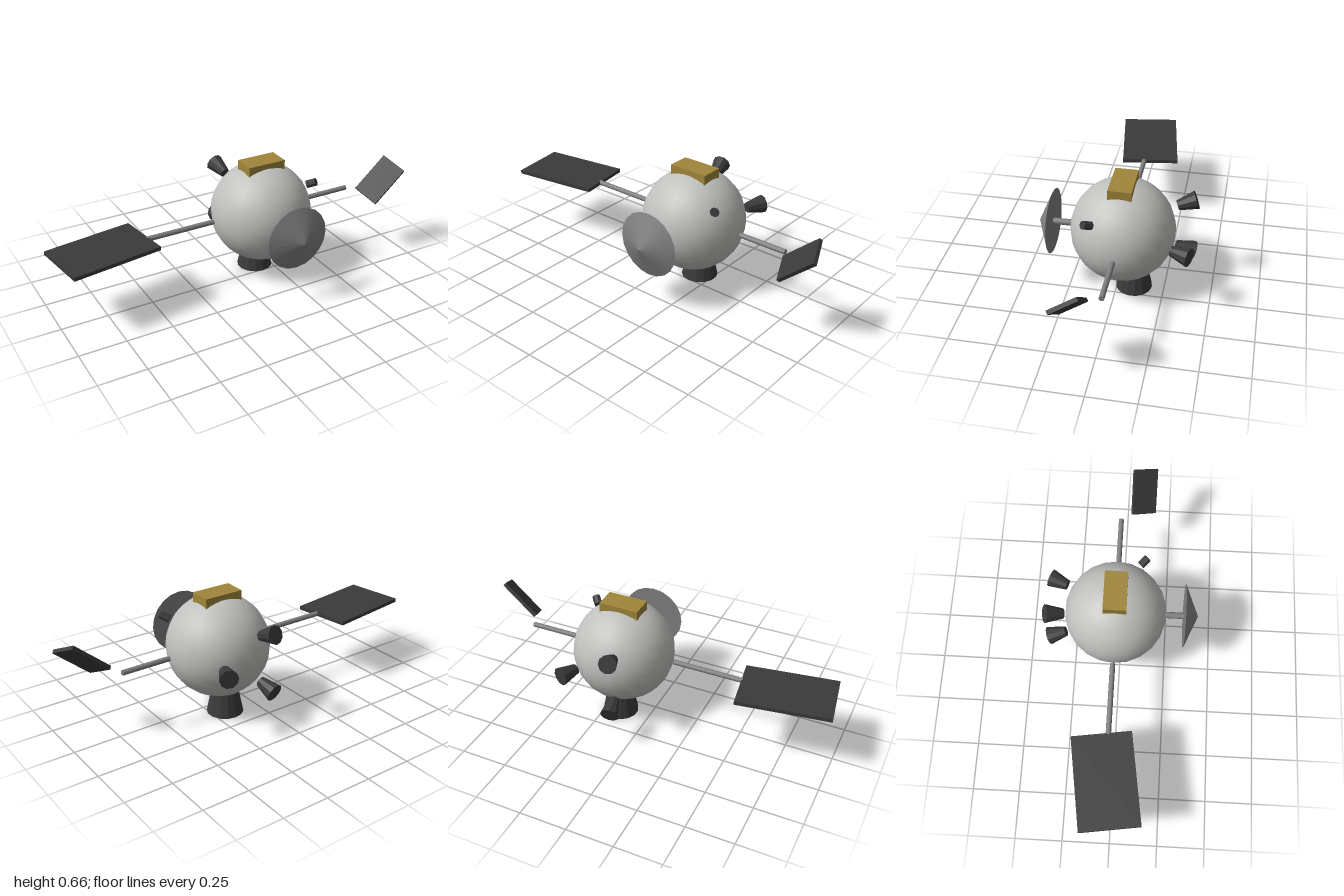
import * as THREE from 'three';

const mat = (name, color, flatShading = false) => {
  const m = new THREE.MeshStandardMaterial({ color, flatShading });
  m.name = name;
  return m;
};

export function createModel() {
  const root = new THREE.Group();
  root.name = 'satellite';
  const hull = mat('hullGrey', 0xc0c1be);
  const metal = mat('metalGrey', 0x808082);
  const dark = mat('darkGrey', 0x3a3a3a, true);
  const gold = mat('gold', 0xa0863a);

  const C = new THREE.Vector3(0.17, 0.365, -0.03); // body centre
  const UP = new THREE.Vector3(0, 1, 0);

  const add = (name, geo, material, x, y, z) => {
    const mesh = new THREE.Mesh(geo, material);
    mesh.name = name;
    mesh.position.set(x, y, z);
    root.add(mesh);
    return mesh;
  };
  // Cylinder or cone whose far end (radius rEnd) points along dir
  const rod = (name, rEnd, rStart, len, sides, material, pos, dir) => {
    const m = add(name, new THREE.CylinderGeometry(rEnd, rStart, len, sides), material, ...pos);
    m.quaternion.setFromUnitVectors(UP, new THREE.Vector3(...dir).normalize());
    return m;
  };

  // Spherical body with equipment box on top
  add('body', new THREE.SphereGeometry(0.271, 22, 16), hull, C.x, C.y, C.z);
  add('topBox', new THREE.BoxGeometry(0.215, 0.052, 0.12), gold, C.x, 0.631, C.z);

  // Dish antenna on a short stalk
  rod('dishStalk', 0.017, 0.017, 0.11, 10, metal, [C.x, C.y, 0.285], [0, 0, 1]);
  rod('dish', 0, 0.172, 0.073, 20, metal, [C.x, C.y, 0.3735], [0, 0, 1]);

  // Booms to the two solar panels
  rod('rightBoom', 0.014, 0.014, 0.38, 10, metal, [-0.31, C.y, C.z], [-1, 0, 0]);
  rod('leftBoom', 0.014, 0.014, 0.265, 10, metal, [0.597, C.y, C.z], [1, 0, 0]);

  // Large panel, slightly yawed
  const large = add('rightPanel', new THREE.BoxGeometry(0.482, 0.02, 0.313), dark, -0.738, C.y, C.z);
  large.rotation.y = 0.148;

  // Small broken panel, tilted away from its boom
  const small = add('leftPanel', new THREE.BoxGeometry(0.245, 0.02, 0.147), dark, 0.876, 0.43, 0.092);
  const ax = new THREE.Vector3(0.755, 0.656, 0).normalize();
  const az = new THREE.Vector3(0.34, -0.374, 0.864);
  const ay = az.clone().cross(ax).normalize();
  az.crossVectors(ax, ay);
  small.quaternion.setFromRotationMatrix(new THREE.Matrix4().makeBasis(ax, ay, az));

  // Main nozzle below
  rod('mainNozzle', 0.072, 0.097, 0.122, 14, dark, [C.x, 0.061, -0.089], [0, 1, 0]);

  // Three rear thrusters in a ring, splayed outward
  for (let i = 0; i < 3; i++) {
    const a = (i * Math.PI * 2) / 3;
    const c = Math.cos(a), s = Math.sin(a), t = Math.sin(0.39);
    rod('thruster' + (i + 1), 0.049, 0.027, 0.1, 10, dark,
      [C.x + 0.165 * c, C.y + 0.165 * s, -0.345], [c * t, s * t, -Math.cos(0.39)]);
  }

  // Small sensor at the upper front left
  rod('sensor', 0.022, 0.022, 0.052, 8, dark, [0.4, 0.528, 0.108], [0.62, 0.4, 0.67]);

  return root;
}
